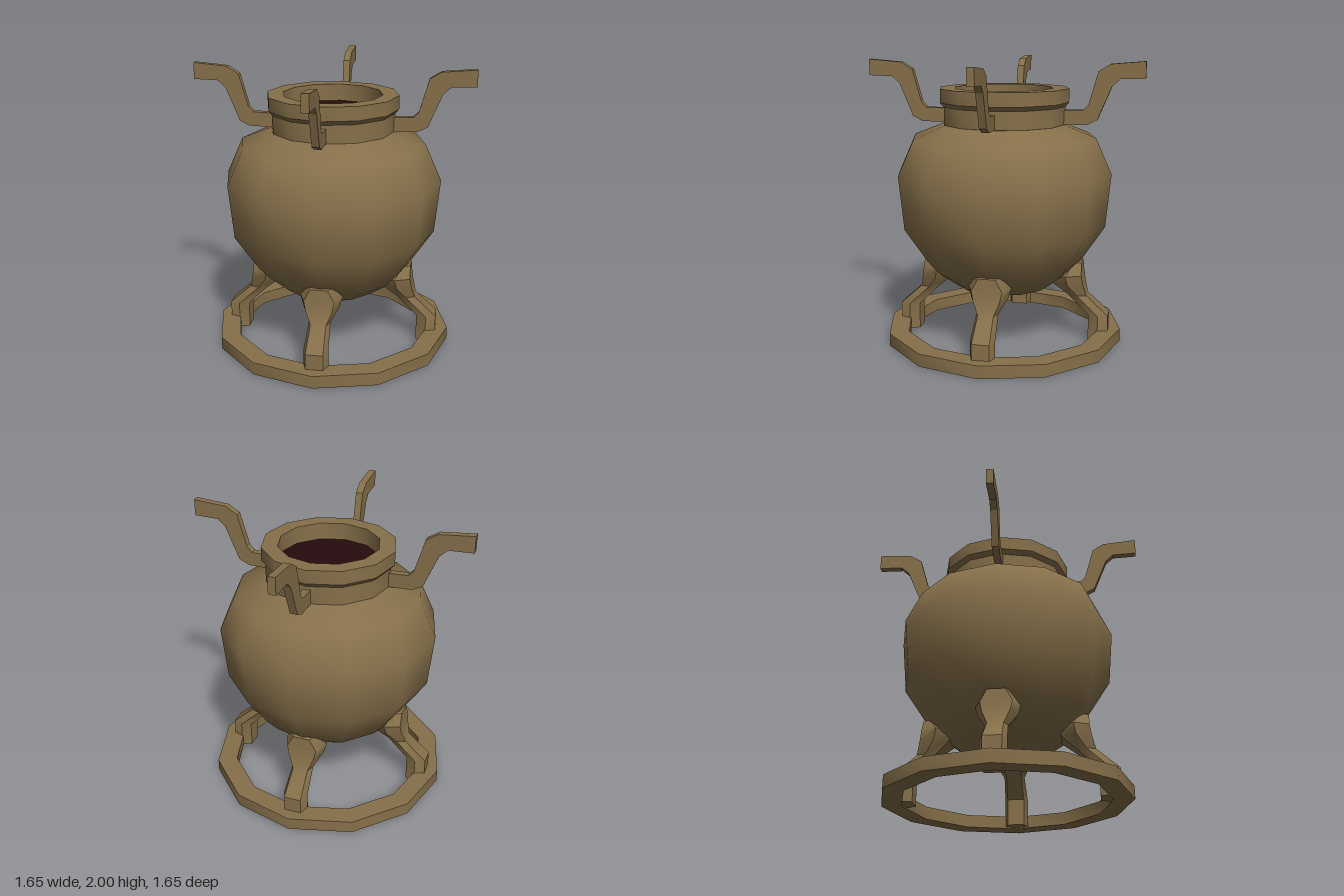
import * as THREE from 'three';
import { toCreasedNormals } from 'three/addons/utils/BufferGeometryUtils.js';

const SIDES = 12;
const FLAT = Math.cos(Math.PI / SIDES); // ratio of flat-to-flat radius and corner radius

// Twelve-sided turned part with a flat side facing front; points are [flat radius, y]
function turned(points, crease) {
  const profile = points.map(([r, y]) => new THREE.Vector2(r / FLAT, y));
  return toCreasedNormals(new THREE.LatheGeometry(profile, SIDES, Math.PI / SIDES), crease);
}

// Leg lofted from six-sided sections: [y, distance from axis, length scale, width scale]
function legGeometry() {
  const section = [[0.07, -0.06], [0.07, 0.06], [0, 0.085], [-0.07, 0.06], [-0.07, -0.06], [0, -0.085]];
  const rows = [
    [0.01, 0.70, 0.01, 0.01],
    [0.01, 0.70, 1, 1],
    [0.20, 0.70, 1, 1],
    [0.34, 0.55, 0.92, 0.88],
    [0.43, 0.485, 1.5, 1.5],
    [0.50, 0.47, 1.55, 1.75],
    [0.585, 0.52, 0.8, 1.0],
    [0.60, 0.50, 0.01, 0.01],
  ];
  const n = section.length;
  const positions = [];
  const index = [];
  rows.forEach(([y, u, su, sv], j) => {
    section.forEach(([x, z], i) => {
      positions.push(u + x * su, y, z * sv);
      if (j === rows.length - 1) return;
      const a = j * n + i;
      const b = j * n + (i + 1) % n;
      index.push(a, a + n, b, b, a + n, b + n);
    });
  });
  const geometry = new THREE.BufferGeometry();
  geometry.setAttribute('position', new THREE.Float32BufferAttribute(positions, 3));
  geometry.setIndex(index);
  return toCreasedNormals(geometry, 0.6);
}

// Flat bent handle, drawn in the radial plane
function handleGeometry() {
  const outline = [
    [0.40, 1.56], [0.59, 1.565], [0.66, 1.60], [0.755, 1.83], [0.81, 1.88], [0.98, 1.885],
    [0.98, 2.0], [0.74, 1.98], [0.66, 1.93], [0.595, 1.70], [0.56, 1.665], [0.40, 1.66],
  ];
  const shape = new THREE.Shape(outline.map(([x, y]) => new THREE.Vector2(x, y)));
  const geometry = new THREE.ExtrudeGeometry(shape, { depth: 0.05, bevelEnabled: false });
  geometry.translate(0, 0, -0.025);
  return geometry;
}

export function createModel() {
  const bronze = new THREE.MeshStandardMaterial({ color: 0x86704a });
  bronze.name = 'bronze';
  const darkInside = new THREE.MeshStandardMaterial({ color: 0x260c0e });
  darkInside.name = 'dark inside';

  const model = new THREE.Group();
  model.name = 'cauldron';
  const add = (name, geometry, material = bronze) => {
    const mesh = new THREE.Mesh(geometry, material);
    mesh.name = name;
    model.add(mesh);
    return mesh;
  };

  // Ring on the ground
  add('baseRing', turned([[0.69, 0], [0.826, 0], [0.826, 0.09], [0.69, 0.09], [0.69, 0]], 0.6));

  // Round belly
  add('body', turned([
    [0, 0.40], [0.34, 0.40], [0.47, 0.50], [0.545, 0.59], [0.705, 0.84],
    [0.74, 1.22], [0.63, 1.47], [0.41, 1.56],
  ], 0.85));

  // Neck, flared lip and inner wall of the mouth
  add('neck', turned([
    [0.40, 1.555], [0.42, 1.56], [0.42, 1.685], [0.425, 1.69], [0.445, 1.715],
    [0.445, 1.81], [0.337, 1.81], [0.337, 1.62],
  ], 0.6));

  // Dark contents
  const contents = new THREE.CircleGeometry(0.337 / FLAT, SIDES, Math.PI / SIDES);
  contents.rotateX(-Math.PI / 2);
  contents.translate(0, 1.69, 0);
  add('contents', contents, darkInside);

  // Four legs and four handles on the diagonals
  const leg = legGeometry();
  const handle = handleGeometry();
  ['backLeft', 'backRight', 'frontRight', 'frontLeft'].forEach((corner, k) => {
    const angle = Math.PI / 4 + k * Math.PI / 2;
    add(corner + 'Leg', leg).rotation.y = angle;
    add(corner + 'Handle', handle).rotation.y = angle;
  });

  return model;
}
